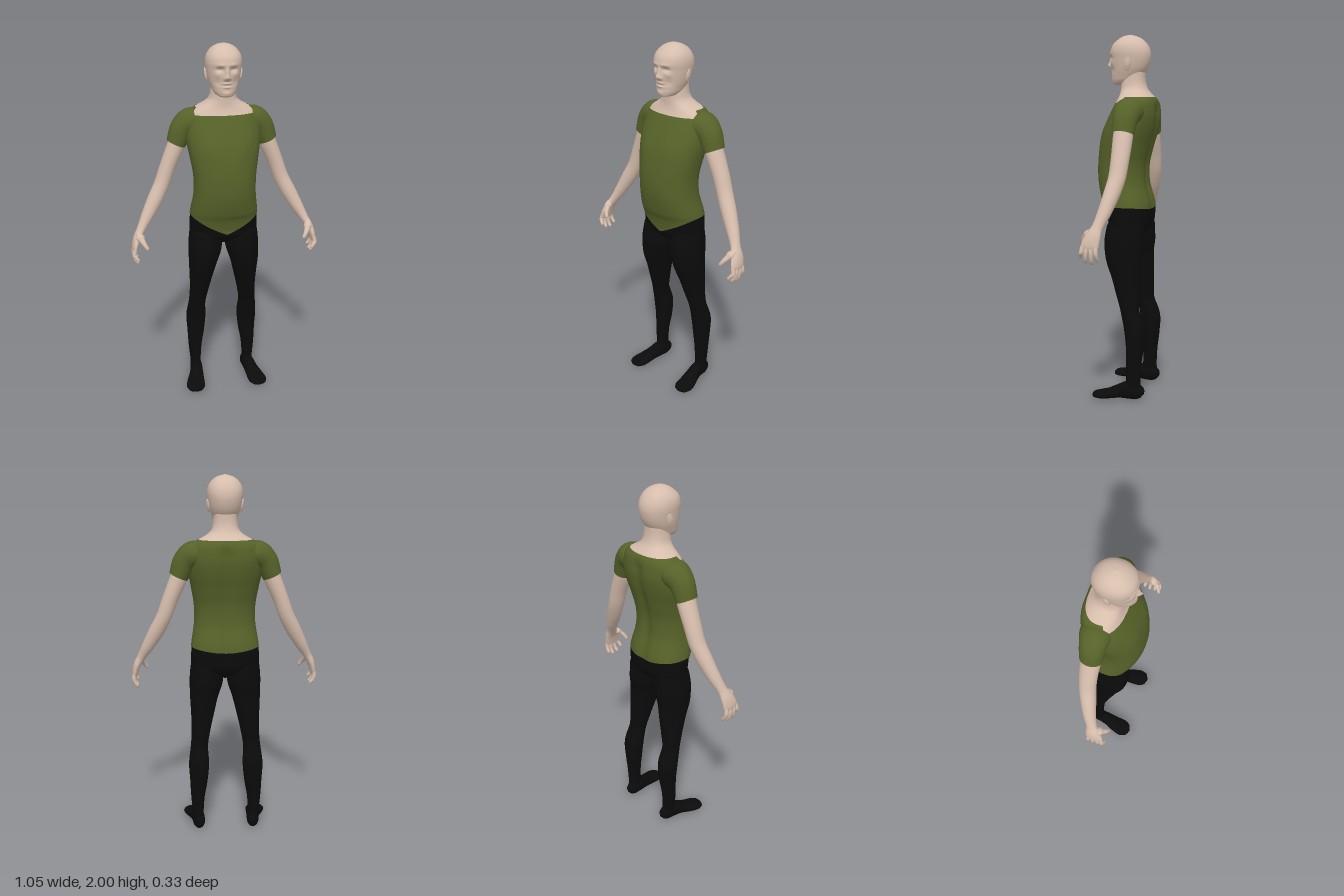
import * as THREE from 'three';
import { ParametricGeometry } from 'three/addons/geometries/ParametricGeometry.js';

const material = (color) => new THREE.MeshStandardMaterial({ color, side: THREE.DoubleSide });
const skin = material(0xd6bdac), cloth = material(0x566229), black = material(0x0b0b0b);
const gauss = (d, w) => Math.exp(-(d * d) / (w * w));

// Smooth lookup in a table of [y, halfWidth, frontZ, backZ]
function profileAt(table, y) {
  let i = 0;
  while (i < table.length - 2 && y > table[i + 1][0]) i++;
  const [a, b] = [table[i], table[i + 1]];
  const p = table[i - 1] || a, n = table[i + 2] || b;
  const h = b[0] - a[0], t = THREE.MathUtils.clamp((y - a[0]) / h, 0, 1);
  return [1, 2, 3].map((k) => {
    const ma = ((b[k] - p[k]) / (b[0] - p[0])) * h;
    const mb = ((n[k] - a[k]) / (n[0] - a[0])) * h;
    return (2 * t ** 3 - 3 * t * t + 1) * a[k] + (t ** 3 - 2 * t * t + t) * ma
      + (3 * t * t - 2 * t ** 3) * b[k] + (t ** 3 - t * t) * mb;
  });
}

// Ring point at an angle (0 = front) and height
function ringPoint(table, angle, y, power, target) {
  const [rx, zf, zb] = profileAt(table, y);
  const s = Math.sin(angle), c = Math.cos(angle);
  return target.set(
    rx * Math.sign(s) * Math.abs(s) ** power, y,
    (zf + zb) / 2 + ((zf - zb) / 2) * Math.sign(c) * Math.abs(c) ** power);
}

// Elliptic sections [x, y, z, r1, r2] lofted along a smooth path; r2 lies along ref
function loft(name, mat, sections, side = 1, ref = [0, 0, 1], around = 32, along = 48) {
  const path = new THREE.CatmullRomCurve3(sections.map((s) => new THREE.Vector3(s[0], s[1], s[2])));
  const radii = new THREE.CatmullRomCurve3(sections.map((s) => new THREE.Vector3(s[3], s[4], 0)));
  const refV = new THREE.Vector3(...ref);
  const geometry = new ParametricGeometry((u, v, target) => {
    const a = (side > 0 ? u : 1 - u) * Math.PI * 2;
    const p = path.getPoint(v), r = radii.getPoint(v), t = path.getTangent(v);
    const n2 = refV.clone().addScaledVector(t, -refV.dot(t)).normalize();
    const n1 = n2.clone().cross(t);
    target.copy(p).addScaledVector(n1, Math.cos(a) * r.x).addScaledVector(n2, Math.sin(a) * r.y);
    target.x *= side;
  }, around, along);
  const mesh = new THREE.Mesh(geometry, mat);
  mesh.name = name;
  return mesh;
}

const TORSO = [
  [0.89, 0.01, 0.01, -0.03], [0.92, 0.1, 0.06, -0.085], [0.96, 0.18, 0.1, -0.12],
  [1.0, 0.19, 0.107, -0.13], [1.06, 0.187, 0.122, -0.133], [1.1, 0.183, 0.14, -0.128],
  [1.2, 0.168, 0.163, -0.102], [1.3, 0.168, 0.166, -0.1], [1.4, 0.183, 0.153, -0.122],
  [1.48, 0.197, 0.13, -0.145], [1.55, 0.2, 0.102, -0.158], [1.6, 0.193, 0.078, -0.157],
  [1.64, 0.175, 0.058, -0.15], [1.665, 0.142, 0.05, -0.136], [1.685, 0.105, 0.047, -0.118],
  [1.71, 0.077, 0.046, -0.1], [1.75, 0.066, 0.045, -0.088], [1.82, 0.062, 0.03, -0.085],
];
const HEAD = [
  [1.73, 0.004, 0.05, 0.04], [1.734, 0.034, 0.088, 0.0], [1.75, 0.056, 0.098, -0.04],
  [1.78, 0.07, 0.1, -0.072], [1.82, 0.083, 0.101, -0.1], [1.87, 0.092, 0.104, -0.115],
  [1.91, 0.095, 0.106, -0.114], [1.945, 0.087, 0.094, -0.099], [1.975, 0.064, 0.063, -0.071],
  [1.992, 0.035, 0.032, -0.037], [2.0, 0.002, 0.001, -0.003],
];
// Face relief: [x, y, spreadX, spreadY, depth]
const FACE = [
  [0, 1.838, 0.013, 0.014, 0.022], [0, 1.862, 0.01, 0.022, 0.014], [0.013, 1.832, 0.008, 0.008, 0.006],
  [0.035, 1.877, 0.018, 0.012, -0.013], [0.03, 1.9, 0.026, 0.009, 0.004],
  [0, 1.797, 0.024, 0.005, -0.004], [0, 1.806, 0.02, 0.006, 0.005], [0, 1.787, 0.018, 0.006, 0.005],
  [0, 1.753, 0.022, 0.012, 0.005], [0.05, 1.85, 0.016, 0.014, 0.004], [0.045, 1.81, 0.018, 0.018, -0.005],
];

// Hem dips to a point in front; the neckline is square in front
const hem = (a) => Math.cos(a) > 0
  ? 0.975 + 0.1 * Math.abs(Math.sin(a))
  : 1.055 + 0.02 * Math.abs(Math.sin(a));
const neckline = (a) => 1.632 + 0.033 * (1 - THREE.MathUtils.smoothstep(Math.cos(a), 0.2, 0.42));

// A band of the torso between two edge curves
function torsoBand(name, mat, low, high, grow = 0) {
  const geometry = new ParametricGeometry((u, v, target) => {
    const a = u * Math.PI * 2, y = THREE.MathUtils.lerp(low(a), high(a), v);
    ringPoint(TORSO, a, y, 0.88, target);
    const s = Math.sin(a), c = Math.cos(a);
    if (c < 0) {
      // Spine groove
      target.z += 0.014 * gauss(target.x, 0.035) * THREE.MathUtils.smoothstep(y, 0.95, 1.1)
        * (1 - THREE.MathUtils.smoothstep(y, 1.58, 1.66));
    } else {
      // Chest
      target.z += 0.007 * c * gauss(Math.abs(target.x) - 0.085, 0.05) * gauss(y - 1.47, 0.06);
    }
    target.x += s * grow;
    target.z += c * grow;
  }, 80, 64);
  const mesh = new THREE.Mesh(geometry, mat);
  mesh.name = name;
  return mesh;
}

function buildHead() {
  const head = new THREE.Group();
  head.name = 'head';
  const skull = new THREE.Mesh(new ParametricGeometry((u, v, target) => {
    const a = u * Math.PI * 2;
    // Rows gather towards the crown and the chin
    const y = 1.73 + 0.27 * (0.6 * v + 0.4 * (0.5 - 0.5 * Math.cos(Math.PI * v)));
    ringPoint(HEAD, a, y, 0.94, target);
    const c = Math.cos(a), x = Math.abs(target.x);
    if (c > 0) {
      for (const [fx, fy, sx, sy, d] of FACE) {
        target.z += d * Math.min(1, c * 2) * gauss(x - fx, sx) * gauss(y - fy, sy);
      }
    }
  }, 112, 96), skin);
  skull.name = 'skull';
  head.add(skull);
  for (const side of [1, -1]) {
    const ear = new THREE.Group();
    ear.name = side > 0 ? 'leftEar' : 'rightEar';
    const lobe = new THREE.Mesh(new THREE.SphereGeometry(1, 20, 14), skin);
    lobe.scale.set(0.008, 0.03, 0.017);
    const rim = new THREE.Mesh(new THREE.TorusGeometry(0.019, 0.0045, 8, 28), skin);
    rim.rotation.y = Math.PI / 2;
    rim.scale.set(0.85, 1.5, 1);
    ear.add(lobe, rim);
    ear.position.set(side * 0.092, 1.84, -0.015);
    ear.rotation.set(-0.15, side * 0.25, side * -0.12);
    head.add(ear);
  }
  return head;
}

function buildArm(side) {
  const arm = new THREE.Group();
  arm.name = side > 0 ? 'leftArm' : 'rightArm';
  arm.add(loft('sleeve', cloth, [
    [0.11, 1.59, -0.047, 0.05, 0.075], [0.17, 1.585, -0.047, 0.074, 0.08],
    [0.215, 1.552, -0.045, 0.066, 0.069], [0.253, 1.468, -0.043, 0.053, 0.06],
  ], side));
  arm.add(loft('armAndPalm', skin, [
    [0.225, 1.53, -0.045, 0.045, 0.05], [0.252, 1.46, -0.045, 0.047, 0.053],
    [0.3, 1.345, -0.045, 0.043, 0.049], [0.335, 1.25, -0.04, 0.042, 0.046],
    [0.375, 1.17, -0.025, 0.042, 0.043], [0.425, 1.08, -0.003, 0.034, 0.036],
    [0.465, 1.01, 0.02, 0.024, 0.03], [0.49, 0.965, 0.035, 0.021, 0.042],
    [0.503, 0.92, 0.047, 0.017, 0.048], [0.505, 0.892, 0.05, 0.011, 0.038], [0.505, 0.884, 0.05, 0.001, 0.003],
  ], side, [0, 0, 1], 32, 72));
  // Fingers: knuckle z, tip z, tip y
  [[0.085, 0.102, 0.852], [0.062, 0.073, 0.828], [0.038, 0.04, 0.822], [0.015, 0.009, 0.838]]
    .forEach(([z0, z1, y1], i) => arm.add(loft('finger' + (i + 1), skin, [
      [0.504, 0.92, z0, 0.011, 0.011], [0.511, 0.885, (z0 * 2 + z1) / 3, 0.012, 0.012],
      [0.505, y1 + 0.025, (z0 + z1 * 2) / 3, 0.0105, 0.0105],
      [0.491, y1 + 0.006, z1, 0.0085, 0.0085], [0.486, y1, z1, 0.001, 0.001],
    ], side, [0, 0, 1], 12, 18)));
  arm.add(loft('thumb', skin, [
    [0.483, 0.995, 0.045, 0.014, 0.016], [0.467, 0.968, 0.08, 0.014, 0.016],
    [0.452, 0.945, 0.101, 0.0115, 0.012], [0.439, 0.925, 0.11, 0.008, 0.009], [0.436, 0.918, 0.111, 0.001, 0.001],
  ], side, [1, 0, 0], 12, 18));
  return arm;
}

function buildLeg(side) {
  const leg = new THREE.Group();
  leg.name = side > 0 ? 'leftLeg' : 'rightLeg';
  leg.add(loft('trouserLeg', black, [
    [0.09, 1.03, -0.005, 0.065, 0.075], [0.1, 0.96, -0.008, 0.092, 0.105],
    [0.106, 0.88, -0.003, 0.094, 0.112], [0.118, 0.8, -0.003, 0.082, 0.103],
    [0.128, 0.7, -0.02, 0.067, 0.084], [0.138, 0.6, -0.034, 0.054, 0.067],
    [0.149, 0.5, -0.05, 0.049, 0.051], [0.153, 0.4, -0.077, 0.057, 0.057],
    [0.155, 0.3, -0.08, 0.05, 0.05], [0.161, 0.2, -0.075, 0.039, 0.042],
    [0.16, 0.1, -0.073, 0.031, 0.041], [0.158, 0.04, -0.075, 0.03, 0.044],
  ], side, [0, 0, 1], 36, 72));
  leg.add(loft('foot', black, [
    [0.152, 0.036, -0.132, 0.003, 0.004], [0.153, 0.04, -0.122, 0.022, 0.028],
    [0.156, 0.047, -0.09, 0.034, 0.046], [0.16, 0.052, -0.045, 0.036, 0.05],
    [0.168, 0.042, 0.01, 0.041, 0.037], [0.179, 0.029, 0.06, 0.05, 0.026],
    [0.187, 0.022, 0.105, 0.054, 0.02], [0.191, 0.019, 0.143, 0.038, 0.015], [0.192, 0.017, 0.158, 0.003, 0.002],
  ], side, [0, 1, 0], 28, 40));
  return leg;
}

export function createModel() {
  const figure = new THREE.Group();
  figure.name = 'standingFigure';
  figure.add(
    torsoBand('pelvis', black, () => 0.892, (a) => hem(a) + 0.01),
    torsoBand('shirt', cloth, hem, neckline, 0.003),
    torsoBand('neck', skin, (a) => neckline(a) - 0.004, () => 1.82),
    buildHead());
  for (const side of [1, -1]) figure.add(buildArm(side), buildLeg(side));
  return figure;
}
